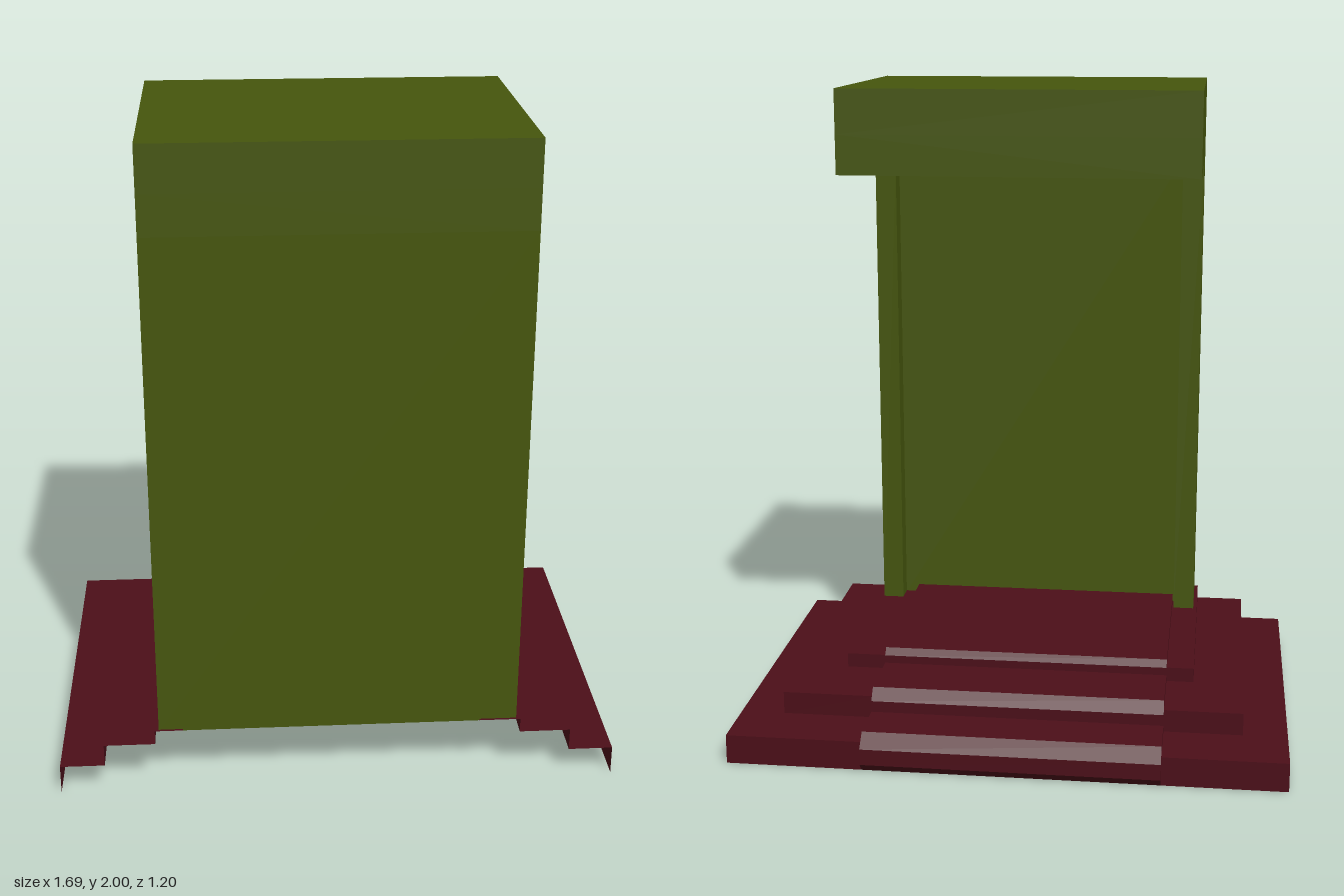
import * as THREE from 'three';

const green = new THREE.MeshStandardMaterial({ color: 0x46560d, flatShading: true, side: THREE.DoubleSide });
const red = new THREE.MeshStandardMaterial({ color: 0x4c0f19, flatShading: true, side: THREE.DoubleSide });

// Flat-shaded strip of quads joining each polyline to the next
function ribbon(rows) {
  const pos = [];
  for (let r = 0; r + 1 < rows.length; r++) {
    const a = rows[r], b = rows[r + 1];
    for (let i = 0; i + 1 < a.length; i++) {
      pos.push(...a[i], ...a[i + 1], ...b[i + 1], ...a[i], ...b[i + 1], ...b[i]);
    }
  }
  const g = new THREE.BufferGeometry();
  g.setAttribute('position', new THREE.Float32BufferAttribute(pos, 3));
  g.computeVertexNormals();
  return g;
}

function add(parent, name, geometry, material) {
  const mesh = new THREE.Mesh(geometry, material);
  mesh.name = name;
  parent.add(mesh);
  return mesh;
}

const FRONT = 0.6, WALL_FRONT = 0.592;
const RUN_RIGHT = -0.47, RUN_LEFT = 0.43;
// Terraces: half width, back z, bottom y, top y
const STEPS = [
  [0.845, -0.58, 0, 0.09],
  [0.71, -0.40, 0.09, 0.16],
  [0.555, -0.175, 0.16, 0.205],
];

// One side of the hollow stepped base, open at the front and below
function terraceSide(side, inner) {
  const ring = (w, zb, y) => {
    const p = [[inner, y, zb], [side * w, y, zb], [side * w, y, FRONT]];
    return side > 0 ? p.reverse() : p;
  };
  const rows = STEPS.flatMap(([w, zb, y0, y1]) => [ring(w, zb, y0), ring(w, zb, y1)]);
  return ribbon(rows);
}

// Top tread of one side
function topTread(side, inner) {
  const [w, zb, , y] = STEPS[2];
  const outerRow = [[side * w, y, zb], [side * w, y, FRONT]];
  const innerRow = [[inner, y, zb], [inner, y, FRONT]];
  return side > 0 ? ribbon([innerRow, outerRow]) : ribbon([outerRow, innerRow]);
}

export function createModel() {
  const model = new THREE.Group();
  model.name = 'steppedShelter';

  // Stepped base
  const base = new THREE.Group();
  base.name = 'base';
  model.add(base);
  for (const [side, inner, label] of [[1, RUN_LEFT, 'left'], [-1, RUN_RIGHT, 'right']]) {
    add(base, label + 'Terraces', terraceSide(side, inner), red);
    add(base, label + 'TopTread', topTread(side, inner), red);
  }

  // Raised central stair with chamfered nosings, as (z, y) from front to back
  const runner = [
    [WALL_FRONT, 0.23], [-0.17, 0.23], [-0.19, 0.21], [-0.19, 0.185],
    [-0.385, 0.185], [-0.415, 0.15], [-0.415, 0.115],
    [-0.56, 0.115], [-0.6, 0.075], [-0.6, 0.025], [-0.58, 0],
  ];
  const across = x => runner.map(([z, y]) => [x, y, z]);
  add(base, 'centralStair', ribbon([across(RUN_RIGHT), across(RUN_LEFT)]), red);

  // Narrow cheeks between the central stair and the terraces
  const under = [[WALL_FRONT, 0.205]];
  for (const [, zb, y0, y1] of [...STEPS].reverse()) under.push([zb, y1], [zb, y0]);
  under.pop(); // last point is shared with the stair profile
  const outline = [...runner, ...under.reverse()].map(([z, y]) => new THREE.Vector2(-z, y));
  for (const x of [RUN_RIGHT, RUN_LEFT]) {
    const cheek = add(base, 'stairCheek', new THREE.ShapeGeometry(new THREE.Shape(outline)), red);
    cheek.rotation.y = Math.PI / 2;
    cheek.position.x = x;
  }

  // Hollow wall with side pillars framing a recessed back panel
  const W = 0.543, IN = 0.475, BACK = 0.365, PANEL = 0.43, SOFFIT = 1.745, RECESS = 1.865;
  const plan = [
    [-W, WALL_FRONT], [W, WALL_FRONT], [W, BACK], [IN, BACK],
    [IN, PANEL], [-IN, PANEL], [-IN, BACK], [-W, BACK], [-W, WALL_FRONT],
  ];
  const level = y => plan.map(([x, z]) => [x, y, z]);
  add(model, 'wall', ribbon([level(0.2), level(SOFFIT)]), green);

  // Overhanging canopy with a recessed soffit
  const canopy = new THREE.Group();
  canopy.name = 'canopy';
  model.add(canopy);
  const CB = -0.22;
  const rect = (C, x, z0, z1) => {
    const s = new C();
    s.moveTo(-x, -z1).lineTo(x, -z1).lineTo(x, -z0).lineTo(-x, -z0).closePath();
    return s;
  };
  const rim = rect(THREE.Shape, W, CB, WALL_FRONT);
  rim.holes.push(rect(THREE.Path, IN, CB + 0.065, BACK));
  const rimGeo = new THREE.ExtrudeGeometry(rim, { depth: RECESS - SOFFIT, bevelEnabled: false });
  rimGeo.rotateX(-Math.PI / 2);
  add(canopy, 'canopyRim', rimGeo, green).position.y = SOFFIT;
  const roof = add(canopy, 'canopyRoof', new THREE.BoxGeometry(2 * W, 2 - RECESS, WALL_FRONT - CB), green);
  roof.position.set(0, (2 + RECESS) / 2, (WALL_FRONT + CB) / 2);

  return model;
}
